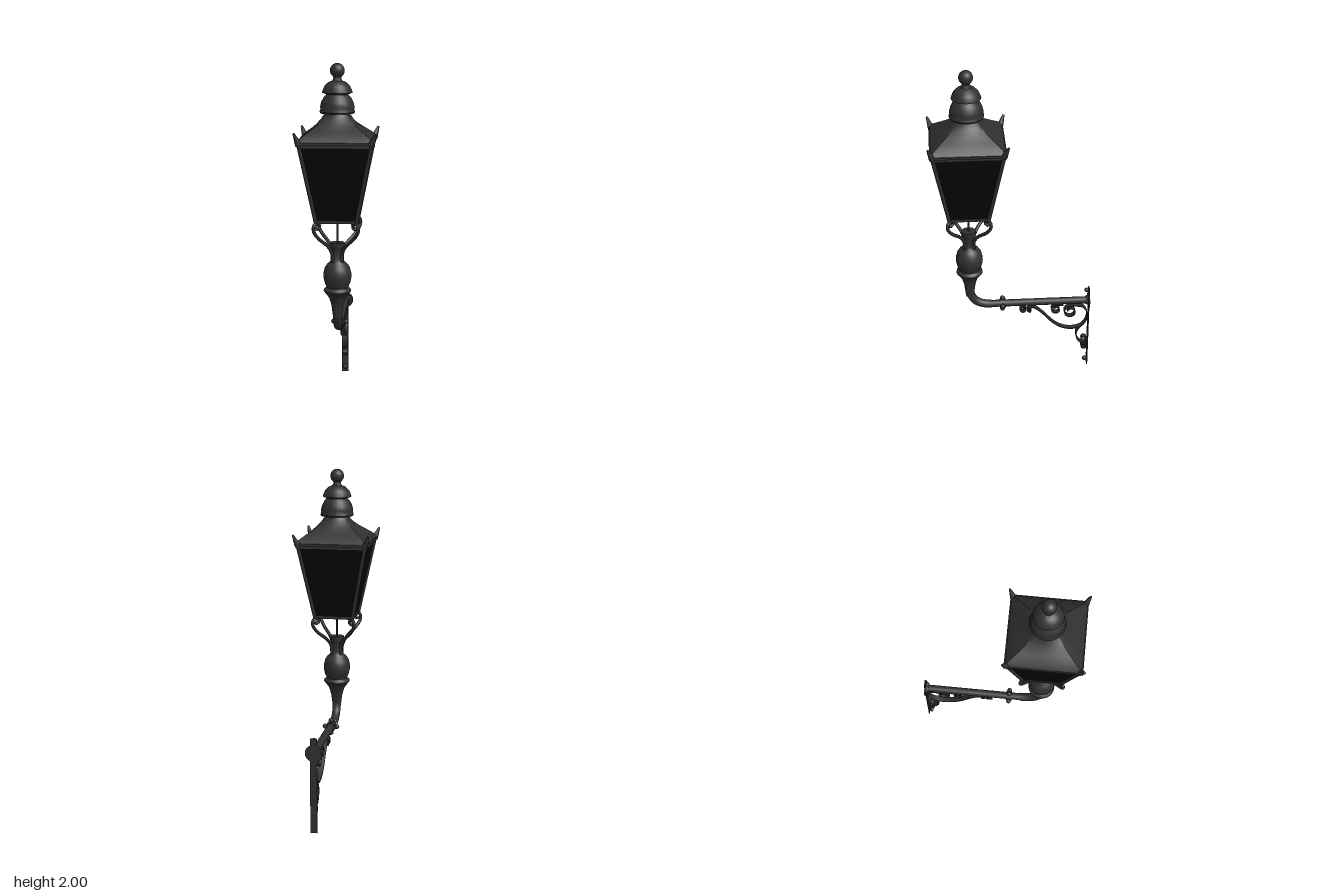
import * as THREE from 'three';
import { toCreasedNormals } from 'three/addons/utils/BufferGeometryUtils.js';

const V = (x, y, z) => new THREE.Vector3(x, y, z);

export function createModel() {
  const iron = new THREE.MeshStandardMaterial({ color: 0x303030 });
  iron.name = 'castIron';
  const dark = new THREE.MeshStandardMaterial({ color: 0x060606 });
  dark.name = 'darkGlass';

  const model = new THREE.Group();
  model.name = 'wallLantern';
  const lantern = new THREE.Group();
  lantern.name = 'lantern';
  lantern.position.z = 0.25;
  const bracket = new THREE.Group();
  bracket.name = 'wallBracket';
  model.add(lantern, bracket);

  function add(parent, name, geo, pos = [0, 0, 0], mat = iron) {
    const mesh = new THREE.Mesh(geo, mat);
    mesh.name = name;
    mesh.position.set(...pos);
    parent.add(mesh);
    return mesh;
  }
  // Tapered round bar between two points
  function rod(parent, name, a, b, ra, rb = ra, sides = 8) {
    const dir = b.clone().sub(a);
    const mesh = add(parent, name, new THREE.CylinderGeometry(rb, ra, dir.length(), sides));
    mesh.position.copy(a).add(b).multiplyScalar(0.5);
    mesh.quaternion.setFromUnitVectors(V(0, 1, 0), dir.normalize());
    return mesh;
  }
  function lathe(parent, name, pts) {
    const geo = new THREE.LatheGeometry(pts.map(p => new THREE.Vector2(...p)), 24);
    return add(parent, name, toCreasedNormals(geo, 0.7));
  }
  const path = pts => new THREE.CatmullRomCurve3(pts);

  // Finial ball on two stacked vent domes
  add(lantern, 'finialBall', new THREE.SphereGeometry(0.041, 20, 14), [0, 1.959, 0]);
  lathe(lantern, 'upperDome', [[0, 1.825], [0.055, 1.825], [0.085, 1.837], [0.083, 1.847], [0.072, 1.872],
    [0.05, 1.895], [0.028, 1.903], [0.022, 1.915], [0.024, 1.93], [0, 1.935]]);
  lathe(lantern, 'lowerDome', [[0, 1.72], [0.095, 1.723], [0.1, 1.732], [0.094, 1.745], [0.096, 1.76],
    [0.09, 1.785], [0.076, 1.812], [0.056, 1.832], [0, 1.835]]);

  // Roof that blends from a square eave to a round neck: [y, half width, roundness]
  const rows = [[1.578, 0.21, 0], [1.6, 0.192, 0], [1.63, 0.155, 0.1], [1.66, 0.12, 0.3],
    [1.69, 0.092, 0.6], [1.715, 0.075, 0.9], [1.735, 0.07, 1]];
  const N = 32, verts = [], faces = [];
  for (const [y, half, round] of rows) {
    for (let i = 0; i < N; i++) {
      const a = (i / N) * Math.PI * 2, s = Math.sin(a), c = Math.cos(a);
      const square = half / Math.max(Math.abs(s), Math.abs(c));
      const r = THREE.MathUtils.lerp(square, half, round);
      verts.push(r * s, y, r * c);
    }
  }
  for (let j = 0; j < rows.length - 1; j++) {
    for (let i = 0; i < N; i++) {
      const a = j * N + i, b = j * N + (i + 1) % N;
      faces.push(a, b, b + N, a, b + N, a + N);
    }
  }
  const roof = new THREE.BufferGeometry();
  roof.setAttribute('position', new THREE.Float32BufferAttribute(verts, 3));
  roof.setIndex(faces);
  add(lantern, 'roof', toCreasedNormals(roof, 0.6));
  add(lantern, 'eave', new THREE.BoxGeometry(0.43, 0.014, 0.43), [0, 1.572, 0]);

  // Tapered glass body
  const glass = new THREE.CylinderGeometry(0.199 * Math.SQRT2, 0.113 * Math.SQRT2, 0.44, 4).rotateY(Math.PI / 4);
  add(lantern, 'glassPanes', toCreasedNormals(glass, 0.5), [0, 1.346, 0], dark);

  // Corner bars, eave horns and diagonal scroll arms
  for (const sx of [-1, 1]) {
    for (const sz of [-1, 1]) {
      rod(lantern, 'cornerBar', V(sx * 0.113, 1.12, sz * 0.113), V(sx * 0.2, 1.568, sz * 0.2), 0.011);
      rod(lantern, 'eaveHorn', V(sx * 0.198, 1.566, sz * 0.198), V(sx * 0.222, 1.63, sz * 0.222), 0.02, 0.006);
      const arm = [[0.026, 0.88], [0.029, 0.93], [0.05, 0.975], [0.1, 1.03], [0.124, 1.075], [0.121, 1.108],
        [0.102, 1.113], [0.092, 1.095], [0.106, 1.087]].map(([d, y]) => V(sx * d, y, sz * d));
      add(lantern, 'scrollArm', new THREE.TubeGeometry(path(arm), 40, 0.01, 8));
      add(lantern, 'scrollTip', new THREE.SphereGeometry(0.012, 10, 8), [sx * 0.106, 1.087, sz * 0.106]);
    }
  }
  // Rails around the top and bottom of the glass
  for (let k = 0; k < 4; k++) {
    const side = new THREE.Group();
    side.name = 'frameSide';
    side.rotation.y = k * Math.PI / 2;
    add(side, 'bottomRail', new THREE.BoxGeometry(0.235, 0.016, 0.016), [0, 1.125, 0.111]);
    add(side, 'topRail', new THREE.BoxGeometry(0.4, 0.02, 0.012), [0, 1.556, 0.198]);
    lantern.add(side);
  }

  // Supply rod and turned post
  rod(lantern, 'supplyRod', V(0, 0.98, 0), V(0, 1.13, 0), 0.006);
  lathe(lantern, 'turnedPost', [[0.024, 0.54], [0.028, 0.575], [0.035, 0.625], [0.047, 0.665], [0.06, 0.685],
    [0.079, 0.708], [0.077, 0.718], [0.062, 0.73], [0.073, 0.755], [0.08, 0.785], [0.08, 0.812],
    [0.072, 0.843], [0.058, 0.865], [0.042, 0.878], [0.035, 0.895], [0.034, 0.95], [0.042, 0.965],
    [0.042, 0.99], [0, 0.99]]);

  // Bent pipe running back to the wall
  const bend = new THREE.CubicBezierCurve3(V(0, 0.6, 0.25), V(0, 0.52, 0.25), V(0, 0.473, 0.215), V(0, 0.473, 0.12));
  add(bracket, 'pipeBend', new THREE.TubeGeometry(bend, 24, 0.025, 16));
  rod(bracket, 'pipe', V(0, 0.473, 0.125), V(0, 0.473, -0.475), 0.022, 0.022, 16);
  rod(bracket, 'pipeCollar', V(0, 0.473, 0.07), V(0, 0.473, 0.035), 0.03, 0.03, 16);
  for (let k = 0; k < 4; k++) {
    const a = k * Math.PI / 2;
    add(bracket, 'collarStud', new THREE.SphereGeometry(0.015, 10, 8),
      [Math.sin(a) * 0.036, 0.473 + Math.cos(a) * 0.038, 0.053]);
  }

  // Wall plate, flange and bolts
  add(bracket, 'wallPlate', new THREE.BoxGeometry(0.04, 0.56, 0.006), [0, 0.28, -0.477]);
  rod(bracket, 'flange', V(0, 0.473, -0.48), V(0, 0.473, -0.472), 0.05, 0.046, 20);
  rod(bracket, 'pipeFoot', V(0, 0.473, -0.473), V(0, 0.473, -0.458), 0.034, 0.026, 16);
  for (const y of [0.035, 0.545]) {
    add(bracket, 'wallBolt', new THREE.SphereGeometry(0.014, 10, 8), [0, y, -0.462]);
  }

  // Flat strap bent along a side-on path of [z, y] points
  function strap(name, pts, width = 0.034) {
    const curve = path(pts.map(([z, y]) => V(z, y, 0)));
    const n = pts.length * 6, left = [], right = [];
    for (let i = 0; i <= n; i++) {
      const p = curve.getPoint(i / n), t = curve.getTangent(i / n);
      left.push(new THREE.Vector2(p.x - t.y * 0.0035, p.y + t.x * 0.0035));
      right.unshift(new THREE.Vector2(p.x + t.y * 0.0035, p.y - t.x * 0.0035));
    }
    const geo = new THREE.ExtrudeGeometry(new THREE.Shape([...left, ...right]), { depth: width, bevelEnabled: false });
    geo.translate(0, 0, -width / 2).rotateY(-Math.PI / 2);
    add(bracket, name, toCreasedNormals(geo, 0.8));
  }
  // Round curl that leaves the point above its centre and winds inward
  function curl(z, y, r, dir) {
    const pts = [];
    for (let i = 0; i <= 12; i++) {
      const a = Math.PI / 2 + dir * (i / 12) * Math.PI * 2.4, q = r * (1 - 0.045 * i);
      pts.push([z + Math.cos(a) * q, y + Math.sin(a) * q]);
    }
    return pts;
  }
  strap('mainScroll', [[-0.122, 0.425], [-0.115, 0.408], [-0.1, 0.42], [-0.115, 0.443], [-0.145, 0.435],
    [-0.18, 0.408], [-0.22, 0.365], [-0.26, 0.322], [-0.32, 0.285], [-0.38, 0.276], [-0.43, 0.29],
    [-0.462, 0.33], [-0.467, 0.385], [-0.445, 0.427], [-0.4, 0.44], ...curl(-0.365, 0.397, 0.042, -1)]);
  strap('frontCurl', curl(-0.07, 0.428, 0.023, 1));
  strap('middleCurl', [[-0.32, 0.448], ...curl(-0.275, 0.418, 0.03, -1)]);
  strap('lowerScroll', [[-0.43, 0.288], [-0.408, 0.255], [-0.405, 0.215], [-0.42, 0.18], [-0.445, 0.165],
    [-0.467, 0.178], [-0.465, 0.203], [-0.445, 0.205], [-0.437, 0.19]]);
  strap('lowerCurl', curl(-0.452, 0.138, 0.021, 1));

  return model;
}
